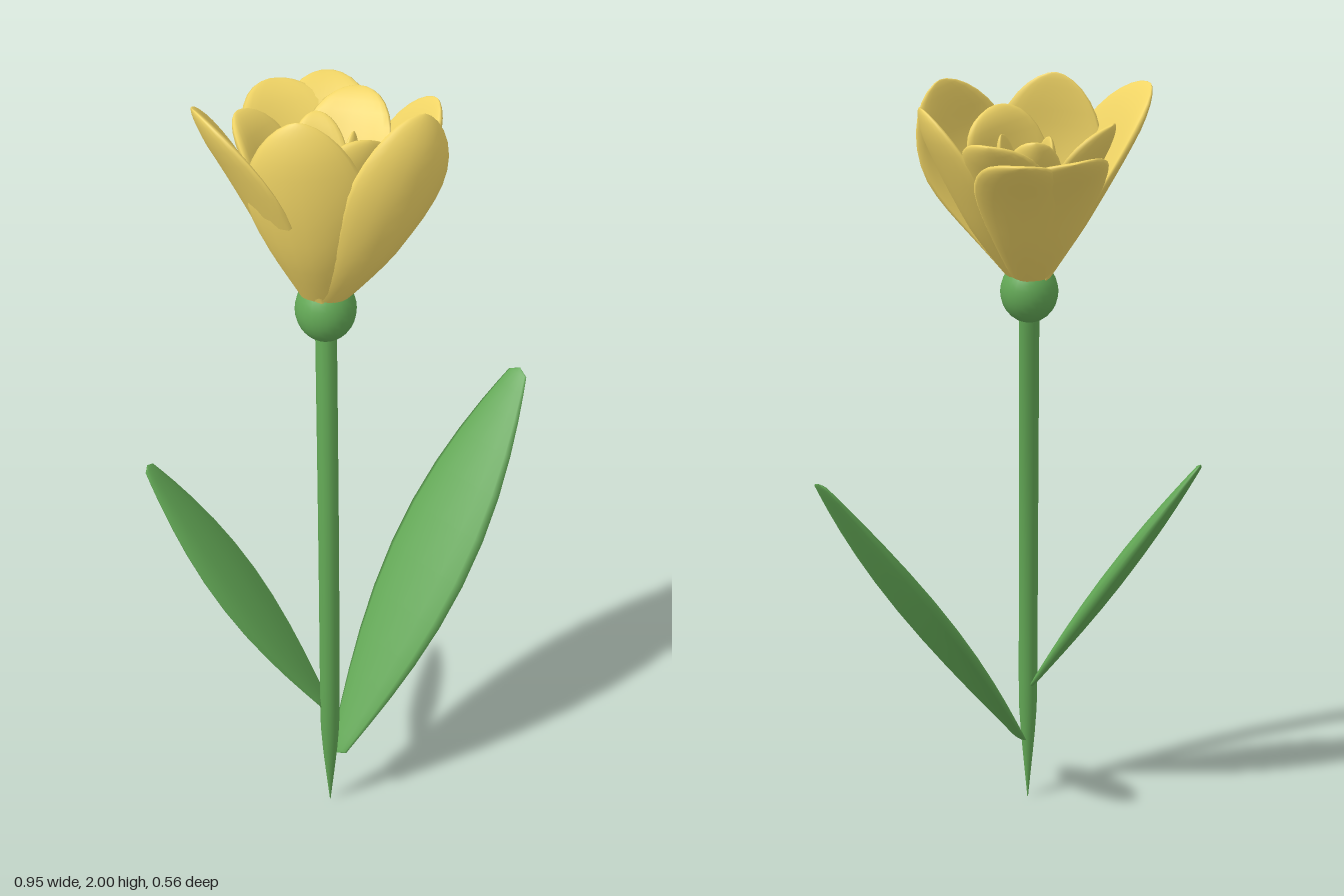
import * as THREE from 'three';

const V = (x, y, z) => new THREE.Vector3(x, y, z);
const GREEN = new THREE.MeshStandardMaterial({ color: 0x62a755 });
const YELLOW = new THREE.MeshStandardMaterial({ color: 0xf0d465 });

// Sweeps a lens-shaped section along a curve. face: horizontal direction the outer side looks to.
// half(t) and thick(t) are the half width and half thickness; cup bends the edges inwards.
function sweep(curve, face, rows, sides, half, thick, cup = 0) {
  const pos = [], index = [];
  const flat = V(face.z, 0, -face.x).normalize();
  for (let i = 0; i <= rows; i++) {
    const t = Math.sin((i / rows - 0.5) * Math.PI) / 2 + 0.5;
    const c = curve.getPoint(t), tan = curve.getTangent(t);
    const w = flat.clone().addScaledVector(tan, -flat.dot(tan)).normalize();
    const n = w.clone().cross(tan);
    for (let j = 0; j < sides; j++) {
      const a = (j / sides) * Math.PI * 2, s = Math.cos(a), h = half(t);
      const p = c.clone().addScaledVector(w, s * h)
        .addScaledVector(n, Math.sin(a) * thick(t) - cup * (1 - 0.7 * t ** 3) * h * s * s);
      pos.push(p.x, p.y, p.z);
      if (i < rows) {
        const k = i * sides, j2 = (j + 1) % sides;
        index.push(k + j, k + sides + j, k + j2, k + j2, k + sides + j, k + sides + j2);
      }
    }
  }
  const g = new THREE.BufferGeometry();
  g.setAttribute('position', new THREE.Float32BufferAttribute(pos, 3));
  g.setIndex(index);
  g.computeVertexNormals();
  return g;
}

function add(group, name, geometry, material) {
  const mesh = new THREE.Mesh(geometry, material);
  mesh.name = name;
  group.add(mesh);
  return mesh;
}

// Narrow at the base, widest at two thirds, rounded at the tip
const petalShape = (t) => (0.28 + 0.72 * THREE.MathUtils.smoothstep(t, -0.18, 0.62)) *
  (t > 0.58 ? Math.max(0, 1 - ((t - 0.58) / 0.42) ** 2) ** 0.58 : 1);

// bulge pushes the middle outwards, curl rolls the tip outwards
function petal(offset, tip, face, width, bulge, curl, cup, thickness = 0.02) {
  face.normalize();
  const base = V(-0.037, 1.51, 0.122).addScaledVector(face, offset);
  const low = base.clone().lerp(tip, 0.33).addScaledVector(face, bulge * 0.67);
  const high = base.clone().lerp(tip, 0.67).addScaledVector(face, bulge * 0.67 - curl * 0.3);
  high.y += curl;
  const curve = new THREE.CubicBezierCurve3(base, low, high, tip);
  return sweep(curve, face, 18, 20, (t) => width / 2 * petalShape(t),
    (t) => thickness * Math.min(1, petalShape(t) * 1.3), cup);
}

// Long blade, pointed at the base and slightly blunt at the tip
function leaf(base, tip, face, width) {
  const shape = (t) => t <= 0 || t >= 1 ? 0 : Math.max(0.16, Math.sin(Math.PI * (0.05 + 0.9 * t ** 1.08)) ** 0.9);
  return sweep(new THREE.LineCurve3(base, tip), face, 14, 12,
    (t) => width / 2 * shape(t), (t) => 0.026 * shape(t));
}

export function createModel() {
  const model = new THREE.Group();
  model.name = 'flower';

  // Stem, leaning back towards the bloom and tapering to a point below
  const stemPath = new THREE.CatmullRomCurve3([
    V(-0.037, 0, 0.26), V(-0.037, 0.2, 0.263), V(-0.037, 0.5, 0.255),
    V(-0.037, 0.85, 0.228), V(-0.037, 1.15, 0.184), V(-0.037, 1.45, 0.128)]);
  const stemRadius = (t) => 0.025 * Math.min(1, 0.04 + t * 3.6);
  add(model, 'stem', sweep(stemPath, V(0, 0, 1), 24, 12, stemRadius, stemRadius), GREEN);

  // Leaves
  add(model, 'leftLeaf', leaf(V(-0.02, 0.175, 0.262), V(0.462, 1.085, -0.165), V(0.48, 0, -0.43), 0.25), GREEN);
  add(model, 'rightLeaf', leaf(V(-0.045, 0.34, 0.255), V(-0.468, 1.03, 0.115), V(-0.42, 0, -0.19), 0.175), GREEN);

  // Green cup under the bloom
  const cup = add(model, 'bloomCup', new THREE.SphereGeometry(0.071, 24, 16), GREEN);
  cup.scale.y = 1.1;
  cup.position.set(-0.037, 1.477, 0.124);
  cup.rotation.x = -0.2;

  // Petals: tip, facing direction, width, bulge, curl, cupping, thickness
  const bloom = new THREE.Group();
  bloom.name = 'bloom';
  model.add(bloom);
  const outer = [
    [V(-0.1, 1.995, 0.195), V(-0.2, 0, 1), 0.27, 0.085, 0, 0.3],
    [V(0.175, 1.985, 0.15), V(0.5, 0, 0.86), 0.255, 0.12, 0, 0.35],
    [V(0.215, 1.945, 0.01), V(0.95, 0, -0.3), 0.24, 0.05, 0.02, 0.35],
    [V(-0.015, 1.87, -0.277), V(0.1, 0, -1), 0.23, 0.03, 0.06, 0.35],
    [V(-0.135, 1.87, -0.243), V(-0.45, 0, -0.9), 0.26, 0.03, 0.06, 0.35],
    [V(-0.32, 1.985, 0.105), V(-0.94, 0, 0.34), 0.28, 0.0, 0.02, 0.3],
  ];
  const inner = [
    [V(-0.225, 1.91, -0.02), V(-0.88, 0, -0.45), 0.2, 0.04, 0.06, 0.4],
    [V(0.055, 1.89, -0.16), V(0.4, 0, -0.9), 0.22, 0.04, 0.06, 0.4],
    [V(0.06, 1.92, 0.145), V(0.5, 0, 0.86), 0.22, 0.05, 0.08, 0.4],
    [V(-0.05, 1.88, -0.065), V(0, 0, -1), 0.14, 0.03, 0.05, 0.5],
    [V(-0.085, 1.87, 0.05), V(-1, 0, 0.35), 0.12, 0.03, 0.02, 0.4, 0.014],
    [V(0.03, 1.88, 0.03), V(1, 0, 0.4), 0.1, 0.03, 0.02, 0.4, 0.014],
  ];
  outer.forEach((p, i) => add(bloom, `outerPetal${i + 1}`, petal(0.035, ...p), YELLOW));
  inner.forEach((p, i) => add(bloom, `innerPetal${i + 1}`, petal(0.01, ...p), YELLOW));
  return model;
}
